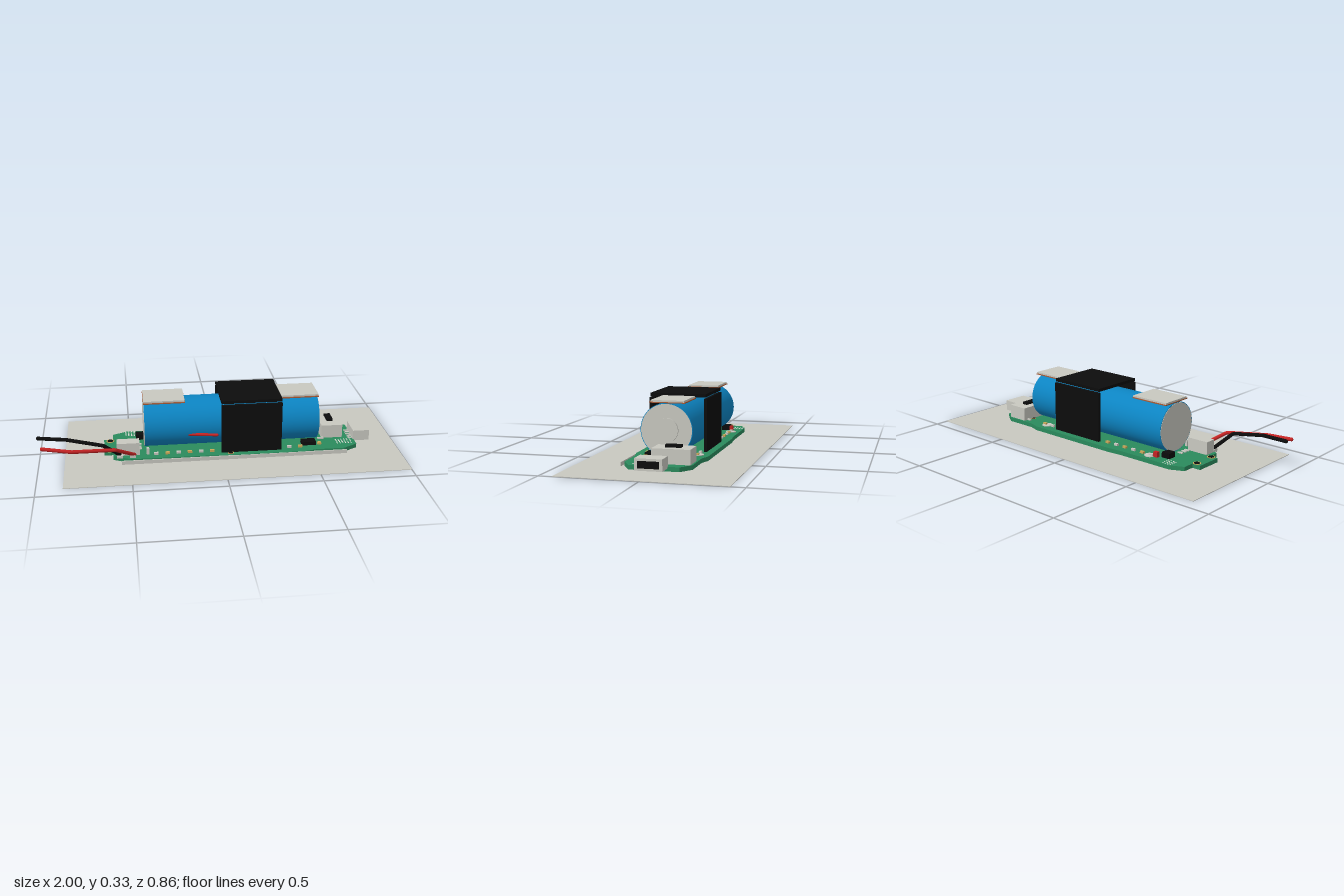
import * as THREE from 'three';

const paint = (name, color) => {
  const m = new THREE.MeshStandardMaterial({ color });
  m.name = name;
  return m;
};

export function createModel() {
  const root = new THREE.Group();
  root.name = 'batteryBoard';
  const grey = paint('light grey', 0xc8c8c0);
  const green = paint('board green', 0x2a8a5c);
  const blue = paint('sleeve blue', 0x0c84c2);
  const black = paint('black', 0x0c0c0c);
  const red = paint('wire red', 0xc42323);
  const copper = paint('copper', 0xa65a35);
  const gold = paint('gold', 0xc9a85a);
  const white = paint('print white', 0xe6e6e0);

  const add = (name, geo, mat, parent = root) => {
    const m = new THREE.Mesh(geo, mat);
    m.name = name;
    parent.add(m);
    return m;
  };
  // Box given by its limits on each axis
  const box = (name, mat, x0, x1, y0, y1, z0, z1, parent) => {
    const m = add(name, new THREE.BoxGeometry(x1 - x0, y1 - y0, z1 - z0), mat, parent);
    m.position.set((x0 + x1) / 2, (y0 + y1) / 2, (z0 + z1) / 2);
    return m;
  };
  const disc = (name, mat, r, h, x, y, z, parent) => {
    const m = add(name, new THREE.CylinderGeometry(r, r, h, 20), mat, parent);
    m.position.set(x, y + h / 2, z);
    return m;
  };

  // Ground sheet
  box('baseSheet', grey, -0.86, 1, 0, 0.003, -0.43, 0.43);

  // Circuit board with a notched outline and two mounting holes
  const outline = [
    [-0.645, -0.085], [-0.595, -0.085], [-0.595, -0.15], [-0.52, -0.185], [-0.2, -0.187],
    [-0.1, -0.195], [0.46, -0.195], [0.52, -0.176], [0.7, -0.176], [0.77, -0.13],
    [0.77, 0.13], [0.69, 0.176], [0.53, 0.176], [0.46, 0.192], [0.1, 0.192],
    [-0.1, 0.185], [-0.5, 0.18], [-0.595, 0.13], [-0.595, 0.07], [-0.645, 0.07],
  ];
  const shape = new THREE.Shape(outline.map(([x, z]) => new THREE.Vector2(x, -z)));
  for (const z of [-0.065, 0.06]) {
    const hole = new THREE.Path();
    hole.absarc(-0.61, -z, 0.012, 0, Math.PI * 2, true);
    shape.holes.push(hole);
  }
  const boardGeo = new THREE.ExtrudeGeometry(shape, { depth: 0.023, bevelEnabled: false, curveSegments: 8 });
  boardGeo.rotateX(-Math.PI / 2);
  add('circuitBoard', boardGeo, green).position.y = 0.005;
  const top = 0.028;

  // Pale strip along the front edge
  box('edgeStrip', grey, -0.55, 0.7, 0.005, 0.026, 0.19, 0.197);

  // Plated holes
  for (const [x, z, r] of [[-0.61, -0.065, 0.022], [-0.61, 0.06, 0.022], [0.05, 0.165, 0.017], [0.585, -0.1, 0.014]]) {
    disc('platedRing', gold, r, 0.002, x, top, z);
    disc('holeCentre', black, r * 0.75, 0.003, x, top, z);
  }

  // Battery cell lying along x
  const cell = new THREE.Group();
  cell.name = 'batteryCell';
  cell.position.set(0.065, 0.17, 0);
  cell.rotation.z = -Math.PI / 2;
  root.add(cell);
  add('cellSleeve', new THREE.CylinderGeometry(0.137, 0.137, 0.97, 64, 1, true), blue, cell);
  for (const s of [1, -1]) {
    const cap = add('cellEnd', new THREE.CylinderGeometry(0.1335, 0.1335, 0.02, 64), grey, cell);
    cap.position.y = s * 0.477;
    const rim = add('sleeveRim', new THREE.RingGeometry(0.132, 0.137, 64), blue, cell);
    rim.rotation.x = -s * Math.PI / 2;
    rim.position.y = s * 0.485;
  }
  add('positiveTerminal', new THREE.CylinderGeometry(0.063, 0.063, 0.012, 40), grey, cell).position.y = 0.491;

  // Contact pads on top of the cell
  for (const [x0, x1] of [[-0.42, -0.195], [0.33, 0.55]]) {
    box('padAdhesive', copper, x0 - 0.002, x1 + 0.002, 0.307, 0.312, -0.097, 0.09);
    box('contactPad', grey, x0, x1, 0.312, 0.321, -0.092, 0.083);
  }

  // Black holding band
  const band = new THREE.Group();
  band.name = 'holdingBand';
  root.add(band);
  box('bandTop', black, 0, 0.335, 0.315, 0.332, -0.15, 0.15, band);
  for (const s of [1, -1]) {
    const z = s * 0.149;
    box('bandSide', black, 0, 0.335, 0.028, 0.308, z - 0.008, z + 0.008, band);
  }

  // Power socket at the right-hand end of the board
  const socket = new THREE.Group();
  socket.name = 'powerSocket';
  root.add(socket);
  box('socketShell', grey, 0.765, 0.858, 0.02, 0.08, -0.07, 0.07, socket);
  box('socketOpening', black, 0.855, 0.861, 0.032, 0.068, -0.053, 0.053, socket);
  for (let i = 0; i < 5; i++) {
    const z = -0.05 + i * 0.025;
    box('socketPin', grey, 0.74, 0.768, top, 0.033, z - 0.005, z + 0.005, socket);
  }

  // Slide switch
  const slide = new THREE.Group();
  slide.name = 'slideSwitch';
  root.add(slide);
  box('switchBody', grey, 0.59, 0.71, top, 0.104, -0.167, 0.032, slide);
  box('switchKnob', black, 0.633, 0.667, 0.104, 0.118, -0.108, -0.027, slide);
  for (const z of [-0.14, 0.04]) box('switchLeg', grey, 0.565, 0.6, top, 0.036, z - 0.006, z + 0.006, slide);

  // Wire connector
  const plug = new THREE.Group();
  plug.name = 'wireConnector';
  root.add(plug);
  box('connectorBody', grey, -0.575, -0.45, top, 0.1, 0.068, 0.132, plug);
  for (const x of [-0.56, -0.49]) box('connectorFoot', grey, x - 0.016, x + 0.016, top, 0.042, 0.13, 0.165, plug);

  // Bent wires, straight between their corners
  const wire = (name, mat, r, pts) => {
    const path = new THREE.CurvePath();
    const v = pts.map((p) => new THREE.Vector3(...p));
    for (let i = 1; i < v.length; i++) path.add(new THREE.LineCurve3(v[i - 1], v[i]));
    add(name, new THREE.TubeGeometry(path, 48, r, 12), mat);
    for (const p of [v[0], v[v.length - 1]]) add(name + 'End', new THREE.SphereGeometry(r, 12, 8), mat).position.copy(p);
  };
  wire('redWire', red, 0.01, [[-0.965, 0.155, 0.265], [-0.81, 0.139, 0.285], [-0.585, 0.115, 0.235], [-0.48, 0.04, 0.148]]);
  wire('blackWire', black, 0.01, [[-0.99, 0.175, 0.17], [-0.84, 0.168, 0.19], [-0.645, 0.13, 0.206], [-0.56, 0.042, 0.145]]);
  wire('sideLead', red, 0.008, [[-0.18, 0.135, 0.125], [-0.025, 0.137, 0.156]]);

  // Small board parts
  const chips = new THREE.Group();
  chips.name = 'boardComponents';
  root.add(chips);
  const chip = (mat, x, z, w, d, h) => box('chip', mat, x - w / 2, x + w / 2, top, top + h, z - d / 2, z + d / 2, chips);
  for (const s of [1, -1]) {
    for (let i = 0; i < 14; i++) {
      const x = -0.36 + i * 0.062;
      if (x > -0.02 && x < 0.35) continue;
      chip(i % 2 ? gold : grey, x, s * 0.135, 0.024, 0.014, 0.012);
    }
  }
  chip(black, 0.5, 0.095, 0.08, 0.05, 0.02);
  chip(gold, 0.56, 0.11, 0.02, 0.02, 0.012);
  chip(black, -0.44, -0.09, 0.05, 0.05, 0.03);
  chip(red, -0.39, -0.13, 0.025, 0.02, 0.03);
  for (const z of [0, 0.03, 0.055]) chip(grey, -0.452, z, 0.03, 0.012, 0.006);
  for (const x of [-0.35, 0.43]) disc('solderPad', grey, 0.03, 0.004, x, top, -0.135, chips);
  chip(grey, -0.405, 0.12, 0.015, 0.02, 0.035);

  // Printed dot grids
  const dots = (x0, z0, nx, nz) => {
    for (let i = 0; i < nx; i++) for (let j = 0; j < nz; j++) {
      disc('printedDot', white, 0.004, 0.002, x0 + i * 0.016, top, z0 + j * 0.016, chips);
    }
  };
  dots(-0.52, -0.175, 4, 4);
  dots(0.665, 0.065, 6, 4);

  return root;
}
